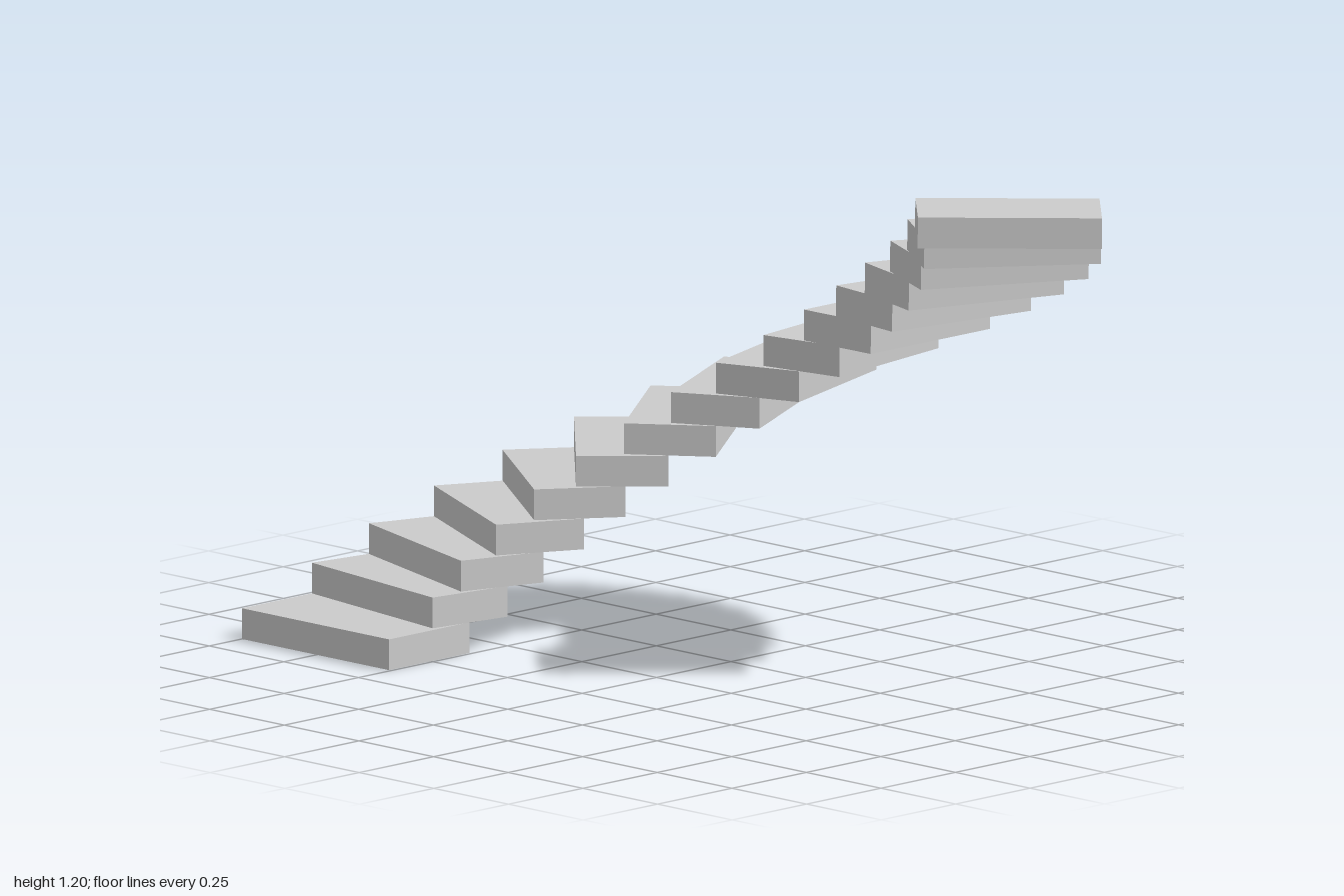
import * as THREE from 'three';

// Curved staircase: box treads, each turned and raised by a constant amount.
const TURN = THREE.MathUtils.degToRad(8.9);
const RISE = 0.0746;

// Per tread, bottom to top: outer leading corner x, z and tread length
const TREADS = [
  [-0.64, -1.0, 0.493], [-0.405, -1.0, 0.485], [-0.24, -0.973, 0.475], [-0.075, -0.92, 0.467],
  [0.08, -0.845, 0.456], [0.22, -0.745, 0.448], [0.352, -0.62, 0.437], [0.46, -0.482, 0.426],
  [0.542, -0.332, 0.417], [0.605, -0.163, 0.409], [0.636, 0.01, 0.408], [0.64, 0.18, 0.414],
  [0.615, 0.355, 0.418], [0.567, 0.53, 0.422], [0.495, 0.69, 0.427], [0.397, 0.838, 0.437],
];

export function createModel() {
  const stairs = new THREE.Group();
  stairs.name = 'curvedStaircase';
  const material = new THREE.MeshStandardMaterial({ color: 0xcccccc, flatShading: true });

  TREADS.forEach(([x, z, length], i) => {
    const angle = i * TURN;
    const width = i === 0 ? 0.27 : 0.22; // the bottom tread is wider
    const c = Math.cos(angle), s = Math.sin(angle);
    const tread = new THREE.Mesh(new THREE.BoxGeometry(width, RISE, length), material);
    tread.name = `tread${i + 1}`;
    // From the outer leading corner: half a width along, half a length inward
    tread.position.set(
      x + (width * c - length * s) / 2,
      RISE * (i + 0.5),
      z + (width * s + length * c) / 2,
    );
    // Upper treads lean very slightly outward
    tread.rotation.set(-0.0007 * i, -angle, 0, 'YXZ');
    stairs.add(tread);
  });
  return stairs;
}
